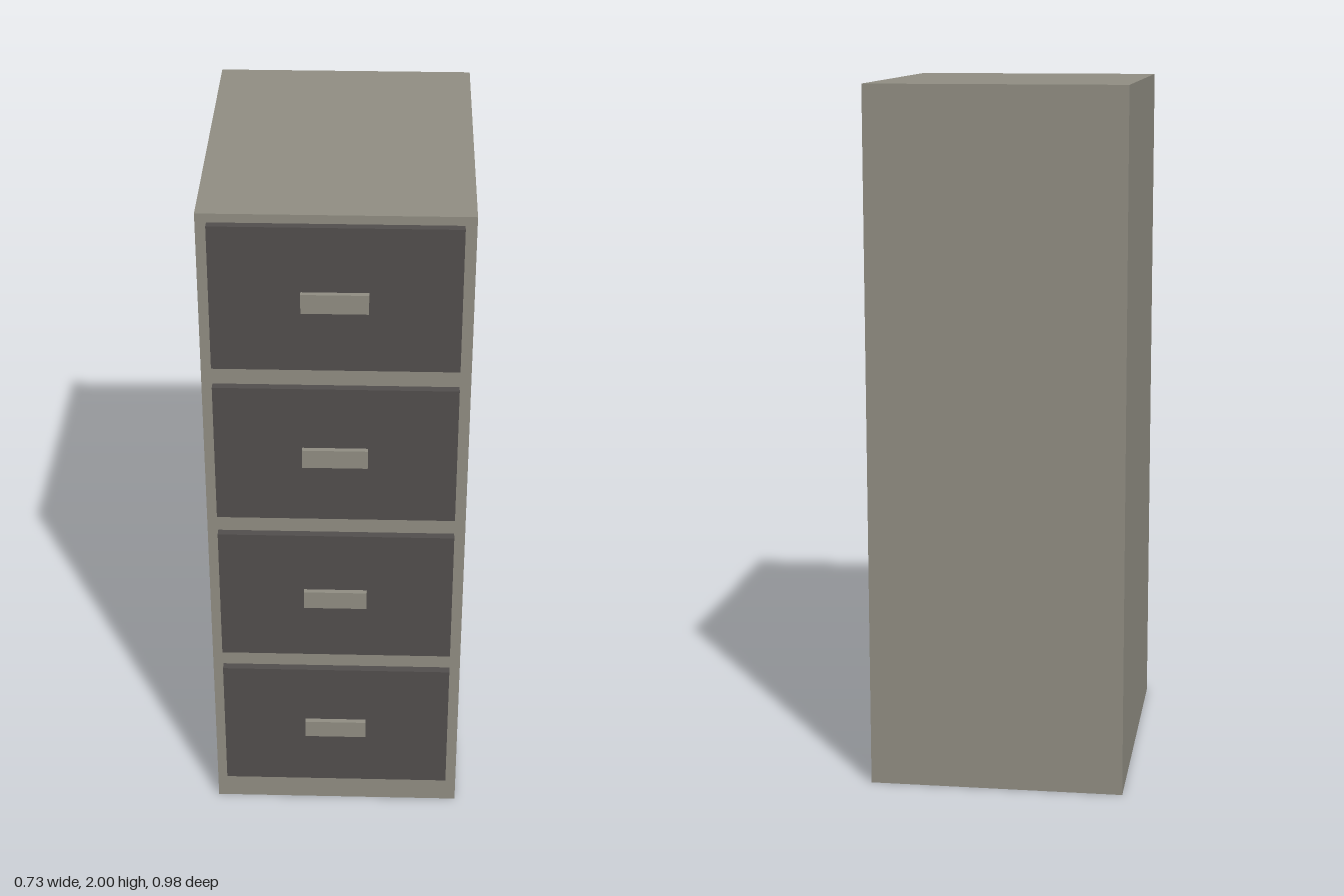
import * as THREE from 'three';

export function createModel() {
  const cabinet = new THREE.Group();
  cabinet.name = 'filingCabinet';

  const bodyMaterial = new THREE.MeshStandardMaterial({ color: 0x918e83 });
  bodyMaterial.name = 'warm grey';
  const drawerMaterial = new THREE.MeshStandardMaterial({ color: 0x524e4d });
  drawerMaterial.name = 'dark grey';

  // Adds a box given by its lower and upper corners
  const addBox = (parent, name, material, [x0, y0, z0], [x1, y1, z1]) => {
    const mesh = new THREE.Mesh(new THREE.BoxGeometry(x1 - x0, y1 - y0, z1 - z0), material);
    mesh.position.set((x0 + x1) / 2, (y0 + y1) / 2, (z0 + z1) / 2);
    mesh.name = name;
    parent.add(mesh);
  };

  // Cabinet body
  addBox(cabinet, 'body', bodyMaterial, [-0.364, 0, -0.488], [0.364, 2, 0.45]);

  // Four drawers, each a front panel with a small block handle
  for (let i = 0; i < 4; i++) {
    const y = 0.095 + i * 0.485;
    const drawer = new THREE.Group();
    drawer.name = `drawer${i + 1}`;
    addBox(drawer, 'drawerFront', drawerMaterial, [-0.334, y, 0.445], [0.333, y + 0.425, 0.473]);
    addBox(drawer, 'handle', bodyMaterial, [-0.092, y + 0.181, 0.47], [0.088, y + 0.237, 0.488]);
    cabinet.add(drawer);
  }

  return cabinet;
}
